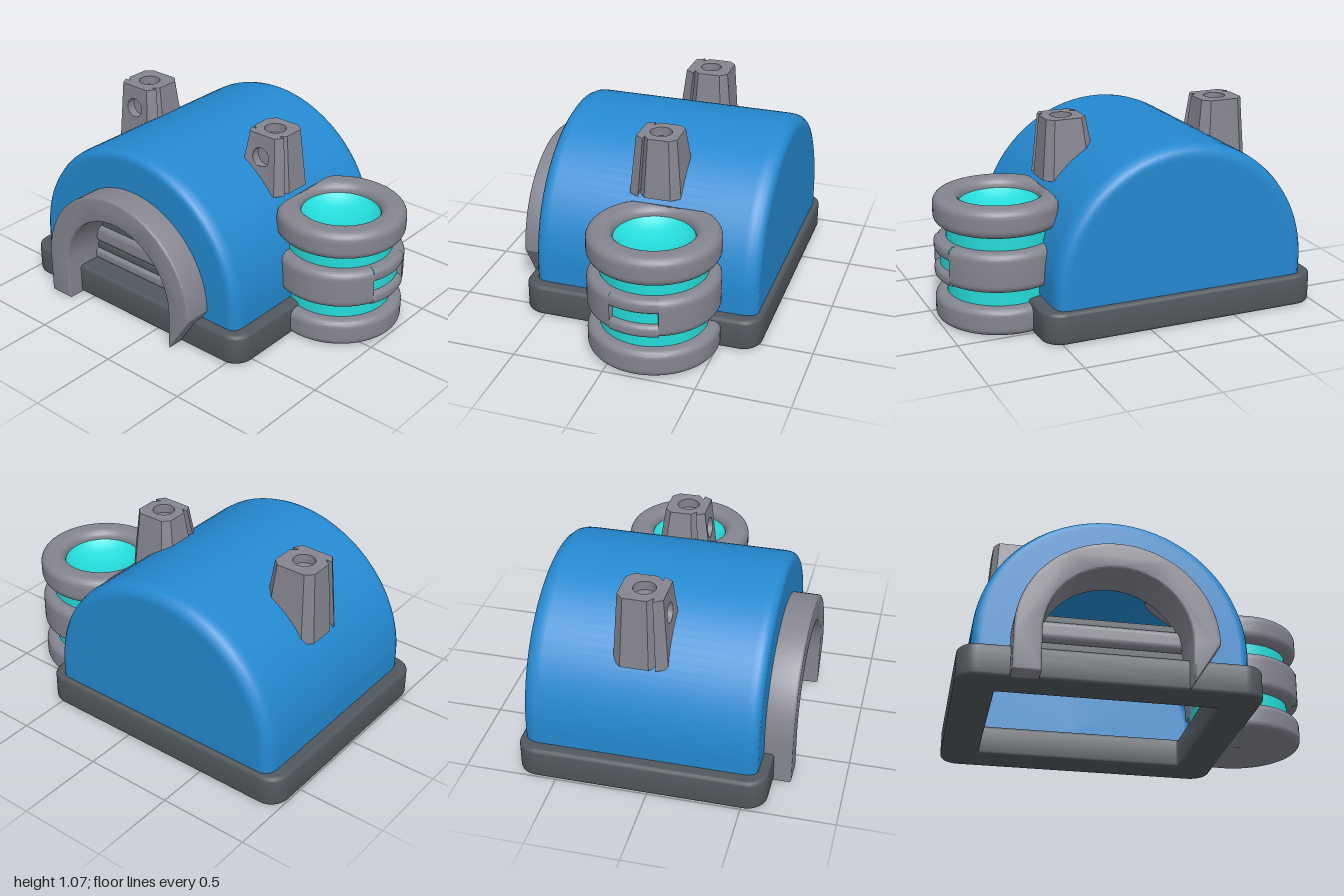
import * as THREE from 'three';
import { toCreasedNormals } from 'three/addons/utils/BufferGeometryUtils.js';
import { RoundedBoxGeometry } from 'three/addons/geometries/RoundedBoxGeometry.js';

const CX = -0.205;      // middle of the hut
const DOME_R = 0.725, DOME_Y = 0.26;

function material(name, color, double) {
  const m = new THREE.MeshStandardMaterial({ color });
  m.name = name;
  if (double) m.side = THREE.DoubleSide;
  return m;
}

// Upright arch outline: straight legs and a half circle
function archPath(P, r, springY, baseY) {
  const p = new P();
  p.moveTo(r, baseY);
  p.lineTo(r, springY);
  p.absarc(0, springY, r, 0, Math.PI, false);
  p.lineTo(-r, baseY);
  p.closePath();
  return p;
}

function roundedRect(P, x0, x1, y0, y1, r) {
  const p = new P();
  p.absarc(x1 - r, y1 - r, r, 0, Math.PI / 2);
  p.absarc(x0 + r, y1 - r, r, Math.PI / 2, Math.PI);
  p.absarc(x0 + r, y0 + r, r, Math.PI, Math.PI * 1.5);
  p.absarc(x1 - r, y0 + r, r, Math.PI * 1.5, Math.PI * 2);
  p.closePath();
  return p;
}

// Extrusion filling 0..depth, with the bevel kept inside the outline
function extrude(shape, depth, bevel = 0) {
  return new THREE.ExtrudeGeometry(shape, {
    depth: depth - 2 * bevel, curveSegments: 24, bevelEnabled: bevel > 0,
    bevelThickness: bevel, bevelSize: bevel, bevelOffset: -bevel, bevelSegments: 3,
  }).translate(0, 0, bevel);
}

function warp(geo, rule) {
  const p = geo.attributes.position, v = new THREE.Vector3();
  for (let i = 0; i < p.count; i++) {
    rule(v.fromBufferAttribute(p, i));
    p.setXYZ(i, v.x, v.y, v.z);
  }
  return geo;
}

// Arch cross-sections [radius, z] lofted from the front opening to the back wall
function domeGeometry() {
  const rows = [[0.45, 0.57], [0.67, 0.57], [0.69, 0.568], [0.71, 0.555], [0.722, 0.53], [0.725, 0.5],
    [0.725, -0.6], [0.723, -0.63], [0.714, -0.66], [0.695, -0.682], [0.67, -0.69], [0.65, -0.69], [0, -0.69]];
  const N = 48, cols = N + 3, pos = [], idx = [];
  for (const [r, z] of rows) {
    pos.push(CX + r, 0.12, z);
    for (let i = 0; i <= N; i++) {
      const a = Math.PI * i / N;
      pos.push(CX + r * Math.cos(a), DOME_Y + r * Math.sin(a), z);
    }
    pos.push(CX - r, 0.12, z);
  }
  for (let j = 0; j < rows.length - 1; j++) for (let i = 0; i < cols - 1; i++) {
    const a = j * cols + i, b = a + cols;
    idx.push(a, b, a + 1, a + 1, b, b + 1);
  }
  const g = new THREE.BufferGeometry();
  g.setAttribute('position', new THREE.Float32BufferAttribute(pos, 3));
  g.setIndex(idx);
  g.computeVertexNormals();
  return g;
}

// Closed ring section with rounded corners, running up the outside
function ringProfile(r0, r1, y0, y1, c) {
  const pts = roundedRect(THREE.Path, r0, r1, y0, y1, c).getPoints(6);
  const start = pts.reduce((m, p, i) => (p.x + p.y < pts[m].x + pts[m].y ? i : m), 0);
  const open = pts.slice(0, -1);
  const out = [...open.slice(start), ...open.slice(0, start)];
  out.push(out[0].clone());
  return out;
}

export function createModel() {
  const model = new THREE.Group();
  model.name = 'hut';
  const blue = material('blue shell', 0x2489d0, true);
  const gray = material('light gray trim', 0x84858f, true);
  const dark = material('dark gray base', 0x51585d);
  const teal = material('teal glow', 0x24dcda, true);
  const yellow = material('yellow strip', 0xd8dc10);

  function add(parent, name, geo, mat, x = 0, y = 0, z = 0) {
    const m = new THREE.Mesh(geo, mat);
    m.name = name;
    m.position.set(x, y, z);
    parent.add(m);
    return m;
  }

  add(model, 'domeShell', domeGeometry(), blue);

  // Open base frame
  const frame = roundedRect(THREE.Shape, -1, 0.59, -0.625, 0.72, 0.11);
  frame.holes.push(roundedRect(THREE.Path, -0.79, 0.38, -0.41, 0.51, 0.01));
  add(model, 'baseFrame', toCreasedNormals(extrude(frame, 0.175, 0.02).rotateX(-Math.PI / 2), 0.6), dark);

  // Doorway arch
  const arch = archPath(THREE.Shape, 0.53, 0.23, 0.004);
  const door = new THREE.Shape();
  door.moveTo(0.53, 0.004);
  door.absarc(0, 0.23, 0.53, 0, Math.PI, false);
  door.lineTo(-0.53, 0.004);
  door.lineTo(-0.385, 0.004);
  door.absarc(0, 0.23, 0.385, Math.PI, 0, true);
  door.lineTo(0.385, 0.004);
  door.closePath();
  add(model, 'doorArch', toCreasedNormals(extrude(door, 0.27, 0.012), 0.6), gray, CX, 0, 0.45);

  // Slats across the doorway, with yellow strips underneath
  const slats = new THREE.Group();
  slats.name = 'doorSlats';
  model.add(slats);
  add(slats, 'topSlat', new RoundedBoxGeometry(0.8, 0.05, 0.1, 2, 0.015), dark, CX, 0.405, 0.43);
  add(slats, 'middleSlat', new RoundedBoxGeometry(0.8, 0.12, 0.1, 3, 0.04), gray, CX, 0.335, 0.45);
  add(slats, 'lowerSlat', new RoundedBoxGeometry(0.8, 0.05, 0.08, 2, 0.015), dark, CX, 0.25, 0.44);
  add(slats, 'bottomSlat', new RoundedBoxGeometry(0.8, 0.06, 0.08, 2, 0.02), gray, CX, 0.2, 0.46);
  add(slats, 'upperStrip', new THREE.BoxGeometry(0.76, 0.05, 0.008), yellow, CX, 0.335, 0.397);
  add(slats, 'lowerStrip', new THREE.BoxGeometry(0.76, 0.03, 0.008), yellow, CX, 0.225, 0.397);

  // Tapered roof posts with a hole in the top and in the front
  function post(x, topY, topHalf, footHalf, footY) {
    const g = new THREE.Group();
    g.name = 'roofPost';
    g.position.set(x, 0, -0.075);
    model.add(g);
    const h = topY - footY;
    const k = y => THREE.MathUtils.lerp(footHalf, topHalf, (y - footY) / h);
    const foot = v => {   // lower edge follows the roof
      if (v.y > footY + 0.05) return;
      const d = x + v.x - CX;
      v.y = Math.max(footY, DOME_Y + Math.sqrt(Math.max(0, DOME_R ** 2 - d * d)) - 0.04);
    };
    // body in unit half-widths, scaled by height
    const s = new THREE.Shape();
    const c = 0.68;
    [[c, -0.6], [1, -0.35], [1, c], [c, 1], [-c, 1], [-1, c], [-1, -0.35], [-c, -0.6]]
      .forEach(([a, b], i) => (i ? s.lineTo(a, b) : s.moveTo(a, b)));
    s.closePath();
    s.holes.push(new THREE.Path().absarc(0, 0, 0.5, 0, Math.PI * 2, true));
    const body = extrude(s, h).rotateX(-Math.PI / 2).translate(0, footY, 0);
    warp(body, v => {
      const f = k(v.y), hole = Math.hypot(v.x, v.z) < 0.55;
      if (hole) { v.x *= 0.12; v.z *= 0.12; } else { v.x *= f; v.z *= f; }
      foot(v);
    });
    add(g, 'postBody', toCreasedNormals(body, 0.5), gray);
    add(g, 'topHoleFloor', new THREE.CircleGeometry(0.065, 24).rotateX(-Math.PI / 2), gray, 0, topY - 0.05, 0);
    // front panel with its round hole
    const t = topHalf, b = footHalf;
    const p = new THREE.Shape();
    p.moveTo(-b, footY); p.lineTo(b, footY); p.lineTo(t, topY); p.lineTo(-t, topY); p.closePath();
    p.holes.push(new THREE.Path().absarc(0, topY - 0.13, 0.055, 0, Math.PI * 2, true));
    const panel = extrude(p, 1);
    warp(panel, v => {
      const f = k(v.y), inHole = Math.hypot(v.x, v.y - topY + 0.13) < 0.06;
      if (v.z > 0.5 && !inHole) v.x *= 0.76;
      v.z = f * (v.z > 0.5 ? 1 : 0.6);
      foot(v);
    });
    add(g, 'postFront', toCreasedNormals(panel, 0.5), gray);
  }
  post(-0.68, 1.07, 0.122, 0.148, 0.67);
  post(0.255, 1.05, 0.112, 0.142, 0.72);

  // Side tank: teal core held by three gray rings, flattened towards the hut
  const tank = new THREE.Group();
  tank.name = 'sideTank';
  tank.position.set(0.645, 0, -0.165);
  model.add(tank);
  const R = 0.355;
  const flat = geo => toCreasedNormals(warp(geo, v => { v.x = Math.max(v.x, -0.24); }), 0.7);
  const ring = (name, pts, start = 0, len = Math.PI * 2) =>
    add(tank, name, flat(new THREE.LatheGeometry(pts, 64, start, len)), gray);
  add(tank, 'tankCore', flat(new THREE.CylinderGeometry(0.29, 0.29, 0.53, 48, 1, true)), teal, 0, 0.32, 0);
  ring('bottomRing', ringProfile(0, R, 0.004, 0.155, 0.04));
  ring('topRing', ringProfile(0.215, R, 0.535, 0.695, 0.05));
  const bowl = [[0, 0.57], [0.08, 0.575], [0.15, 0.595], [0.2, 0.625], [0.225, 0.655]].map(p => new THREE.Vector2(...p));
  add(tank, 'tankBowl', new THREE.LatheGeometry(bowl, 48), teal);

  // Middle ring with a glowing slot on its outer side
  const half = 0.39, mid = Math.PI / 2;
  ring('middleRing', ringProfile(0.25, R, 0.24, 0.46, 0.045), mid + half, Math.PI * 2 - 2 * half);
  ring('slotLowerLip', ringProfile(0.25, R, 0.24, 0.315, 0.03), mid - half, 2 * half);
  ring('slotUpperLip', ringProfile(0.25, R, 0.38, 0.46, 0.03), mid - half, 2 * half);
  add(tank, 'slotGlow', new THREE.CylinderGeometry(0.325, 0.325, 0.12, 16, 1, true, mid - half - 0.02, 2 * half + 0.04), teal, 0, 0.348, 0);
  for (const s of [-1, 1]) {
    const a = s * (half + 0.02);
    const end = add(tank, 'slotEnd', new THREE.BoxGeometry(0.05, 0.12, 0.016), gray, 0.327 * Math.cos(a), 0.348, 0.327 * Math.sin(a));
    end.rotation.y = -a;
  }
  return model;
}
